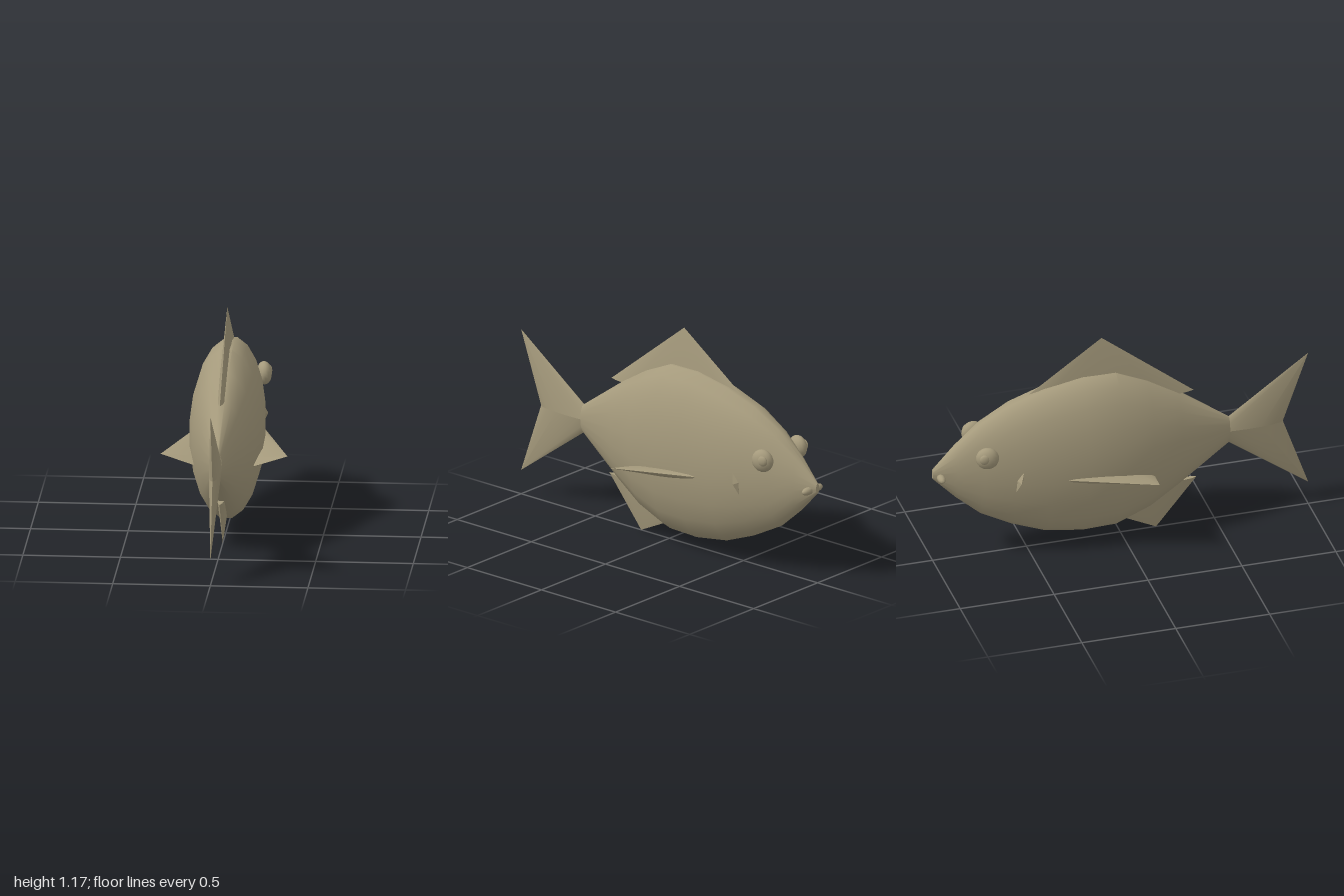
import * as THREE from 'three';
import { toCreasedNormals } from 'three/addons/utils/BufferGeometryUtils.js';

const skin = new THREE.MeshStandardMaterial({ color: 0xa59a7c });
skin.name = 'olive skin';

function add(group, name, geometry) {
  const mesh = new THREE.Mesh(geometry, skin);
  mesh.name = name;
  group.add(mesh);
  return mesh;
}

// Body lofted from elliptical rings: z, top, bottom, half width
function bodyGeometry() {
  const rings = [
    [-1, 0.54, 0.485, 0.012], [-0.88, 0.665, 0.36, 0.06], [-0.75, 0.78, 0.245, 0.103],
    [-0.59, 0.87, 0.16, 0.146], [-0.41, 0.93, 0.09, 0.174], [-0.21, 0.97, 0.06, 0.189],
    [-0.03, 0.968, 0.066, 0.19], [0.14, 0.89, 0.135, 0.163], [0.3, 0.79, 0.242, 0.12],
    [0.578, 0.59, 0.44, 0.026],
  ];
  const sides = 20, pos = [], index = [];
  for (const [z, top, bottom, w] of rings) {
    for (let i = 0; i < sides; i++) {
      const a = ((i + 0.5) / sides) * Math.PI * 2;
      pos.push(Math.cos(a) * w, (top + bottom) / 2 + Math.sin(a) * (top - bottom) / 2, z);
    }
  }
  for (let r = 0; r < rings.length - 1; r++) {
    for (let i = 0; i < sides; i++) {
      const a = r * sides + i, b = r * sides + (i + 1) % sides;
      index.push(a, b, a + sides, b, b + sides, a + sides);
    }
  }
  // Flat caps at the snout and the tail root
  const last = (rings.length - 1) * sides;
  for (let i = 1; i < sides - 1; i++) {
    index.push(0, i + 1, i, last, last + i, last + i + 1);
  }
  const g = new THREE.BufferGeometry();
  g.setAttribute('position', new THREE.Float32BufferAttribute(pos, 3));
  g.setIndex(index);
  return toCreasedNormals(g, 0.7);
}

// Fin: a cone flattened and sheared between two base ends and a tip
function finGeometry(end1, end2, tip, thickness) {
  const p = new THREE.Vector3(...end1), q = new THREE.Vector3(...end2);
  const centre = p.clone().add(q).multiplyScalar(0.5);
  const along = q.sub(p).multiplyScalar(0.5);
  const up = new THREE.Vector3(...tip).sub(centre);
  const across = along.clone().cross(up).setLength(thickness);
  const g = new THREE.ConeGeometry(1, 1, 16, 1);
  g.rotateY(Math.PI / 2).translate(0, 0.5, 0);
  g.applyMatrix4(new THREE.Matrix4().makeBasis(along, up, across).setPosition(centre));
  return toCreasedNormals(g, 0.9);
}

export function createModel() {
  const fish = new THREE.Group();
  fish.name = 'fish';
  add(fish, 'body', bodyGeometry());

  // Fins on the centre line
  add(fish, 'dorsalFin', finGeometry([0, 0.78, 0.39], [0, 0.785, -0.65], [0, 1.172, -0.1], 0.033));
  add(fish, 'analFin', finGeometry([0, 0.262, 0.405], [0, 0.25, -0.33], [0, 0, 0.19], 0.028));
  add(fish, 'upperTailLobe', finGeometry([0, 0.515, 0.47], [0, 0.515, 0.865], [0, 0.897, 1], 0.03));
  add(fish, 'lowerTailLobe', finGeometry([0, 0.515, 0.47], [0, 0.515, 0.865], [0, 0.13, 1], 0.03));

  // Paired parts
  for (const [side, s] of [['left', 1], ['right', -1]]) {
    add(fish, side + 'PectoralFin',
      finGeometry([s * 0.15, 0.395, 0.14], [s * 0.15, 0.465, -0.41], [s * 0.325, 0.445, 0.115], 0.025));

    const eye = new THREE.Group();
    eye.name = side + 'Eye';
    eye.position.set(s * 0.138, 0.643, -0.748);
    eye.rotation.y = s * 0.2;
    fish.add(eye);
    add(eye, 'eyeball', new THREE.SphereGeometry(1, 16, 12)).scale.set(0.039, 0.06, 0.06);
    const pupil = add(eye, 'pupil', new THREE.SphereGeometry(1, 12, 8));
    pupil.scale.set(0.014, 0.028, 0.028);
    pupil.position.set(s * 0.029, 0.008, -0.015);

    const lip = add(fish, side + 'Lip', new THREE.SphereGeometry(1, 12, 8));
    lip.scale.set(0.04, 0.02, 0.021);
    lip.position.set(s * 0.036, 0.5, -0.964);

    const gill = add(fish, side + 'Gill', new THREE.OctahedronGeometry(1));
    gill.scale.set(0.026, 0.064, 0.016);
    gill.position.set(s * 0.146, 0.48, -0.575);
    gill.rotation.x = 0.35;
  }
  return fish;
}
